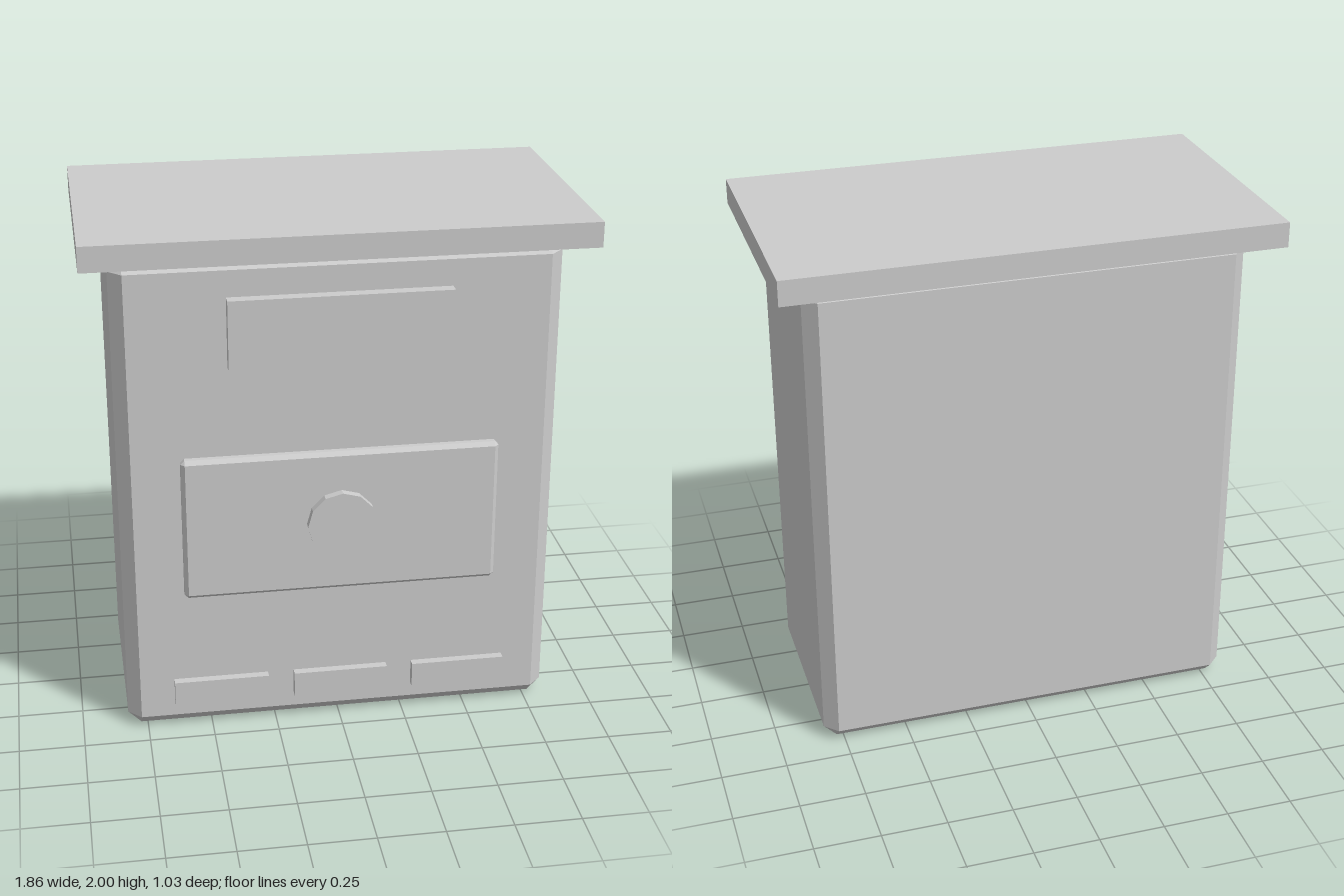
import * as THREE from 'three';
import { ConvexGeometry } from 'three/addons/geometries/ConvexGeometry.js';

const grey = new THREE.MeshStandardMaterial({ color: 0xcccccc, flatShading: true });
grey.name = 'grey';

// Box centred on the origin with every edge cut at 45 degrees
function chamferedBox(w, h, d, c) {
  const points = [];
  const [x, y, z] = [w / 2, h / 2, d / 2];
  for (const sx of [-1, 1]) for (const sy of [-1, 1]) for (const sz of [-1, 1]) {
    points.push(
      new THREE.Vector3(sx * x, sy * (y - c), sz * (z - c)),
      new THREE.Vector3(sx * (x - c), sy * y, sz * (z - c)),
      new THREE.Vector3(sx * (x - c), sy * (y - c), sz * z));
  }
  return new ConvexGeometry(points);
}

export function createModel() {
  const model = new THREE.Group();
  model.name = 'cabinet';

  function add(name, geometry, x, y, z) {
    const mesh = new THREE.Mesh(geometry, grey);
    mesh.name = name;
    mesh.position.set(x, y, z);
    model.add(mesh);
  }

  // Main case and overhanging lid
  add('body', chamferedBox(1.65, 1.905, 0.824, 0.05), 0, 0.9525, 0);
  add('lid', new THREE.BoxGeometry(1.856, 0.095, 1.034), 0, 1.9525, 0);

  // Upper plate and central door with its round knob
  add('upperPlate', new THREE.BoxGeometry(0.823, 0.265, 0.046), 0, 1.6215, 0.433);
  add('door', chamferedBox(1.19, 0.567, 0.05, 0.015), 0, 0.86, 0.431);
  const knob = new THREE.CylinderGeometry(0.131, 0.131, 0.04, 12).rotateX(Math.PI / 2);
  add('knob', knob, 0, 0.86, 0.468);

  // Row of small bars along the bottom
  for (const i of [-1, 0, 1]) {
    add('lowerBar', new THREE.BoxGeometry(0.363, 0.1, 0.032), i * 0.463, 0.167, 0.44);
  }
  return model;
}
